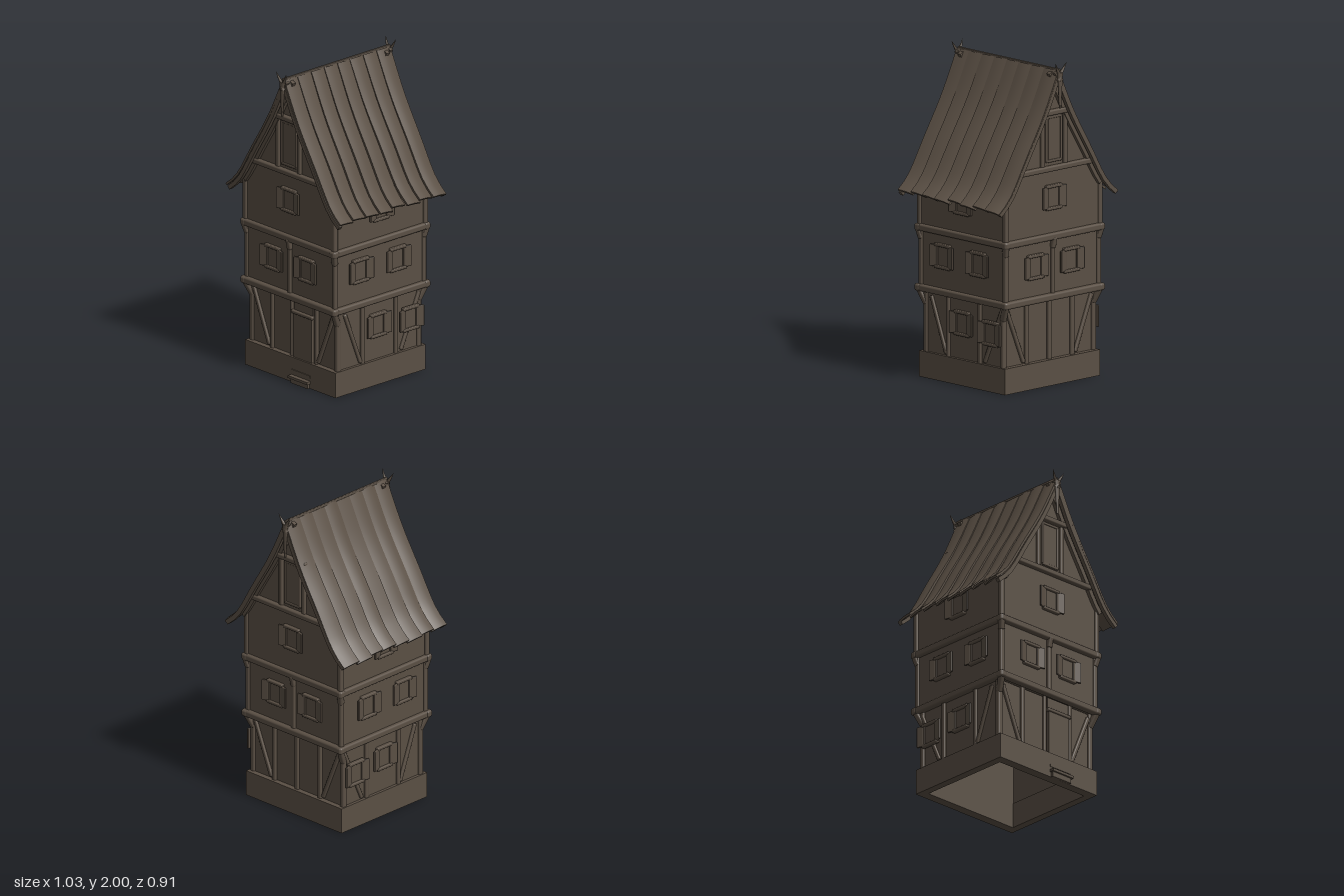
import * as THREE from 'three';
import { RoundedBoxGeometry } from 'three/addons/geometries/RoundedBoxGeometry.js';

const wood = new THREE.MeshStandardMaterial({ color: 0x5a4f44 });
wood.name = 'weathered wood';

function add(parent, name, geometry, x = 0, y = 0, z = 0) {
  const mesh = new THREE.Mesh(geometry, wood);
  mesh.name = name;
  mesh.position.set(x, y, z);
  parent.add(mesh);
  return mesh;
}

const box = (parent, name, w, h, d, x, y, z) => add(parent, name, new THREE.BoxGeometry(w, h, d), x, y, z);

// Soft-edged timber between two points
function beam(parent, name, a, b, w, d = w) {
  const p = new THREE.Vector3(...a), q = new THREE.Vector3(...b);
  const dir = q.clone().sub(p), len = dir.length();
  const mesh = add(parent, name, new RoundedBoxGeometry(w, len, d, 2, Math.min(w, d) * 0.3));
  mesh.position.copy(p).add(q).multiplyScalar(0.5);
  mesh.quaternion.setFromUnitVectors(new THREE.Vector3(0, 1, 0), dir.normalize());
}

// Framed window with two open shutters, facing +z before turning
function shutteredWindow(parent, x, y, z, turn) {
  const g = new THREE.Group();
  g.name = 'window';
  g.position.set(x, y, z);
  g.rotation.y = turn;
  box(g, 'windowPane', 0.1, 0.13, 0.008, 0, 0, 0.004);
  for (const s of [-1, 1]) {
    beam(g, 'windowRail', [-0.065, s * 0.068, 0.008], [0.065, s * 0.068, 0.008], 0.02, 0.028);
    beam(g, 'windowStile', [s * 0.05, -0.065, 0.006], [s * 0.05, 0.065, 0.006], 0.016, 0.022);
    const shutter = add(g, 'shutter', new RoundedBoxGeometry(0.048, 0.135, 0.014, 2, 0.005), s * 0.076, 0, 0.016);
    shutter.rotation.y = -s * 0.25;
  }
  parent.add(g);
}

// Roof slope from ridge to flared eave
const slope = new THREE.CatmullRomCurve3([[0, 1.95], [0.127, 1.69], [0.275, 1.445], [0.415, 1.22], [0.51, 1.135]]
  .map(([x, y]) => new THREE.Vector3(x, y, 0)));

// Board bent along the slope, with optional cupping, twist and skew
function slopeBoard(parent, name, z, width, thick, { drop = 0, cup = 0, twist = 0, skew = 0, reach = 1 } = {}) {
  const geo = new THREE.BoxGeometry(1, thick, width, 14, 1, 4);
  const pos = geo.attributes.position;
  for (let i = 0; i < pos.count; i++) {
    const s = (pos.getX(i) + 0.5) * reach, across = pos.getZ(i) / width;
    const p = slope.getPointAt(s), t = slope.getTangentAt(s);
    const lift = pos.getY(i) - drop + cup * (1 - 4 * across * across) + twist * across * (0.4 + s);
    pos.setXYZ(i, p.x - t.y * lift, p.y + t.x * lift, z + pos.getZ(i) + skew * (s - 0.5));
  }
  geo.computeVertexNormals();
  add(parent, name, geo);
}

function buildGroundFloor(house) {
  // Hollow stone-like footing
  const ring = new THREE.Shape([[-0.4, -0.37], [0.4, -0.37], [0.4, 0.37], [-0.4, 0.37]].map(p => new THREE.Vector2(...p)));
  ring.holes.push(new THREE.Path([[-0.35, -0.31], [-0.35, 0.31], [0.35, 0.31], [0.35, -0.31]].map(p => new THREE.Vector2(...p))));
  const base = new THREE.ExtrudeGeometry(ring, { depth: 0.16, bevelEnabled: false });
  base.rotateX(-Math.PI / 2);
  add(house, 'footing', base);

  // Thin walls, with a narrow slit beside the door
  box(house, 'frontWallRight', 0.365, 0.38, 0.02, -0.1925, 0.345, 0.325);
  box(house, 'frontWallLeft', 0.377, 0.38, 0.02, 0.1915, 0.345, 0.325);
  box(house, 'backWall', 0.75, 0.38, 0.02, 0, 0.345, -0.325);
  for (const s of [-1, 1]) box(house, 'sideWall', 0.02, 0.38, 0.66, s * 0.37, 0.345, 0);

  // Corner posts with flared brackets
  for (const sx of [-1, 1]) for (const sz of [-1, 1]) {
    beam(house, 'cornerPost', [sx * 0.375, 0.15, sz * 0.33], [sx * 0.375, 0.55, sz * 0.33], 0.035);
    beam(house, 'cornerBracket', [sx * 0.375, 0.45, sz * 0.33], [sx * 0.395, 0.545, sz * 0.375], 0.036);
  }
  // Front and back posts and braces
  for (const sz of [-1, 1]) {
    const z = sz * 0.338;
    for (const x of sz > 0 ? [-0.19, 0.2] : [-0.19, 0, 0.19])
      beam(house, 'wallPost', [x, 0.15, z], [x, 0.54, z], 0.03);
    for (const s of [-1, 1]) beam(house, 'brace', [s * 0.355, 0.51, z], [s * 0.215, 0.17, z], 0.026);
  }
  beam(house, 'doorPost', [-0.012, 0.15, 0.345], [-0.012, 0.54, 0.345], 0.022);
  // Side posts, braces and windows
  for (const sx of [-1, 1]) {
    const x = sx * 0.382;
    for (const z of [0.135, -0.14]) beam(house, 'wallPost', [x, 0.15, z], [x, 0.54, z], 0.028);
    beam(house, 'brace', [x, 0.51, 0.28], [x, 0.17, 0.15], 0.025);
    beam(house, 'brace', [x, 0.51, -0.33], [x, 0.17, -0.18], 0.025);
    shutteredWindow(house, sx * 0.38, 0.38, 0.01, sx * Math.PI / 2);
    shutteredWindow(house, sx * 0.392, 0.36, -0.245, sx * Math.PI / 2);
  }
  // Door, lintel and steps
  box(house, 'door', 0.165, 0.34, 0.03, 0.095, 0.28, 0.345);
  box(house, 'doorHead', 0.17, 0.075, 0.02, 0.095, 0.495, 0.34);
  beam(house, 'doorLintel', [0.0, 0.45, 0.352], [0.19, 0.45, 0.352], 0.022, 0.035);
  for (let i = 0; i < 3; i++) {
    const depth = 0.08 - i * 0.025;
    box(house, 'step', 0.17, 0.016, depth, 0.095, 0.04 + i * 0.035, 0.35 + depth / 2 - 0.03);
    box(house, 'stepRiser', 0.15, 0.035, depth - 0.015, 0.095, 0.018 + i * 0.035, 0.35 + depth / 2 - 0.035);
  }
}

function buildUpperFloors(house) {
  box(house, 'middleFloor', 0.785, 0.38, 0.735, 0, 0.73, 0);
  // Top floor and gables in one prism
  const gable = new THREE.Shape([[-0.395, 0.92], [0.395, 0.92], [0.395, 1.22], [0.26, 1.44], [0.11, 1.69], [0, 1.92],
    [-0.11, 1.69], [-0.26, 1.44], [-0.395, 1.22]].map(p => new THREE.Vector2(...p)));
  add(house, 'topFloor', new THREE.ExtrudeGeometry(gable, { depth: 0.75, bevelEnabled: false }), 0, 0, -0.375);

  // Floor beams running round the house
  for (const y of [0.55, 0.922]) for (const s of [-1, 1]) {
    beam(house, 'floorBeam', [-0.42, y, s * 0.375], [0.42, y, s * 0.375], 0.045);
    beam(house, 'floorBeam', [s * 0.395, y, -0.4], [s * 0.395, y, 0.4], 0.043);
  }
  for (const sx of [-1, 1]) for (const sz of [-1, 1]) {
    beam(house, 'middleCornerPost', [sx * 0.387, 0.56, sz * 0.362], [sx * 0.387, 0.92, sz * 0.362], 0.032);
    beam(house, 'middleBracket', [sx * 0.387, 0.85, sz * 0.362], [sx * 0.4, 0.92, sz * 0.38], 0.036);
    beam(house, 'topCornerPost', [sx * 0.392, 0.93, sz * 0.37], [sx * 0.392, 1.23, sz * 0.37], 0.034);
  }
  for (const s of [-1, 1]) {
    const z = s * 0.378, turn = s > 0 ? 0 : Math.PI;
    // Gable windows, beams and loft hatch
    for (const x of [-0.15, 0.15]) shutteredWindow(house, x, 0.755, s * 0.368, turn);
    shutteredWindow(house, 0.005, 1.165, s * 0.375, turn);
    beam(house, 'middlePost', [0, 0.56, s * 0.37], [0, 0.92, s * 0.37], 0.028);
    beam(house, 'middlePostBracket', [0, 0.85, s * 0.37], [0, 0.92, s * 0.385], 0.034);
    beam(house, 'gableBeam', [-0.325, 1.345, s * 0.39], [0.325, 1.345, s * 0.39], 0.035);
    beam(house, 'collarBeam', [-0.125, 1.69, s * 0.39], [0.125, 1.69, s * 0.39], 0.035);
    for (const sx of [-1, 1]) {
      beam(house, 'loftPost', [sx * 0.095, 1.35, z], [sx * 0.095, 1.69, z], 0.03);
      beam(house, 'hatchStile', [sx * 0.06, 1.39, z], [sx * 0.06, 1.66, z], 0.018, 0.022);
    }
    for (const y of [1.39, 1.66]) beam(house, 'hatchRail', [-0.065, y, z], [0.065, y, z], 0.018, 0.022);
    box(house, 'loftHatch', 0.11, 0.26, 0.012, 0, 1.525, z);
    // Side windows
    for (const wz of [0.165, -0.14]) shutteredWindow(house, s * 0.392, 0.77, wz, s * Math.PI / 2);
    shutteredWindow(house, s * 0.395, 1.13, 0, s * Math.PI / 2);
  }
}

function buildRoof(root) {
  let seed = 7;
  const rand = () => (seed = (seed * 16807) % 2147483647) / 2147483647 - 0.5;
  for (let i = 0; i < 8; i++) rand();
  for (const turn of [0, Math.PI]) {
    const side = new THREE.Group();
    side.name = 'roofSlope';
    side.rotation.y = turn;
    for (let i = 0; i < 8; i++) {
      slopeBoard(side, 'roofPlank', -0.378 + i * 0.108, 0.116, 0.014, {
        cup: 0.005 + rand() * 0.006, twist: (turn ? -1 : 1) * (0.012 + rand() * 0.01),
        skew: i === 0 || i === 7 ? 0 : rand() * 0.02, reach: 0.985 + rand() * 0.03,
      });
    }
    for (const s of [-1, 1]) {
      slopeBoard(side, 'bargeBoard', s * 0.425, 0.025, 0.026, { drop: 0.018, reach: 0.985 });
      slopeBoard(side, 'gableRafter', s * 0.385, 0.025, 0.03, { drop: 0.03, reach: 0.87 });
    }
    root.add(side);
  }
  beam(root, 'ridgePole', [-0.005, 1.955, -0.44], [-0.005, 1.955, 0.44], 0.016);

  // Crossed horns with a hanging spike at each gable
  for (const s of [-1, 1]) {
    const z = s * 0.44;
    for (const x of [-1, 1]) {
      const curve = new THREE.CatmullRomCurve3([[-x * 0.012, 1.89, z], [x * 0.012, 1.94, z], [x * 0.028, 1.965, z + s * 0.003], [x * 0.045, 2.0, z + s * 0.01]]
        .map(p => new THREE.Vector3(...p)));
      const horn = new THREE.TubeGeometry(curve, 10, 0.013, 7, false);
      const pos = horn.attributes.position;
      // Taper the tube to a point
      for (let i = 0; i < pos.count; i++) {
        const t = Math.floor(i / 8) / 10, c = curve.getPointAt(t);
        const v = new THREE.Vector3().fromBufferAttribute(pos, i).sub(c).multiplyScalar(1 - 0.95 * t * t).add(c);
        pos.setXYZ(i, v.x, v.y, v.z);
      }
      horn.computeVertexNormals();
      add(root, 'horn', horn, -0.007);
    }
    const spike = add(root, 'gableSpike', new THREE.CylinderGeometry(0.022, 0.008, 0.22, 8), -0.007, 1.83, z);
    spike.scale.z = 0.6;
  }
}

export function createModel() {
  const root = new THREE.Group();
  root.name = 'timberHouse';
  const house = new THREE.Group();
  house.name = 'houseBody';
  house.position.x = -0.012;
  root.add(house);
  buildGroundFloor(house);
  buildUpperFloors(house);
  buildRoof(root);
  return root;
}
